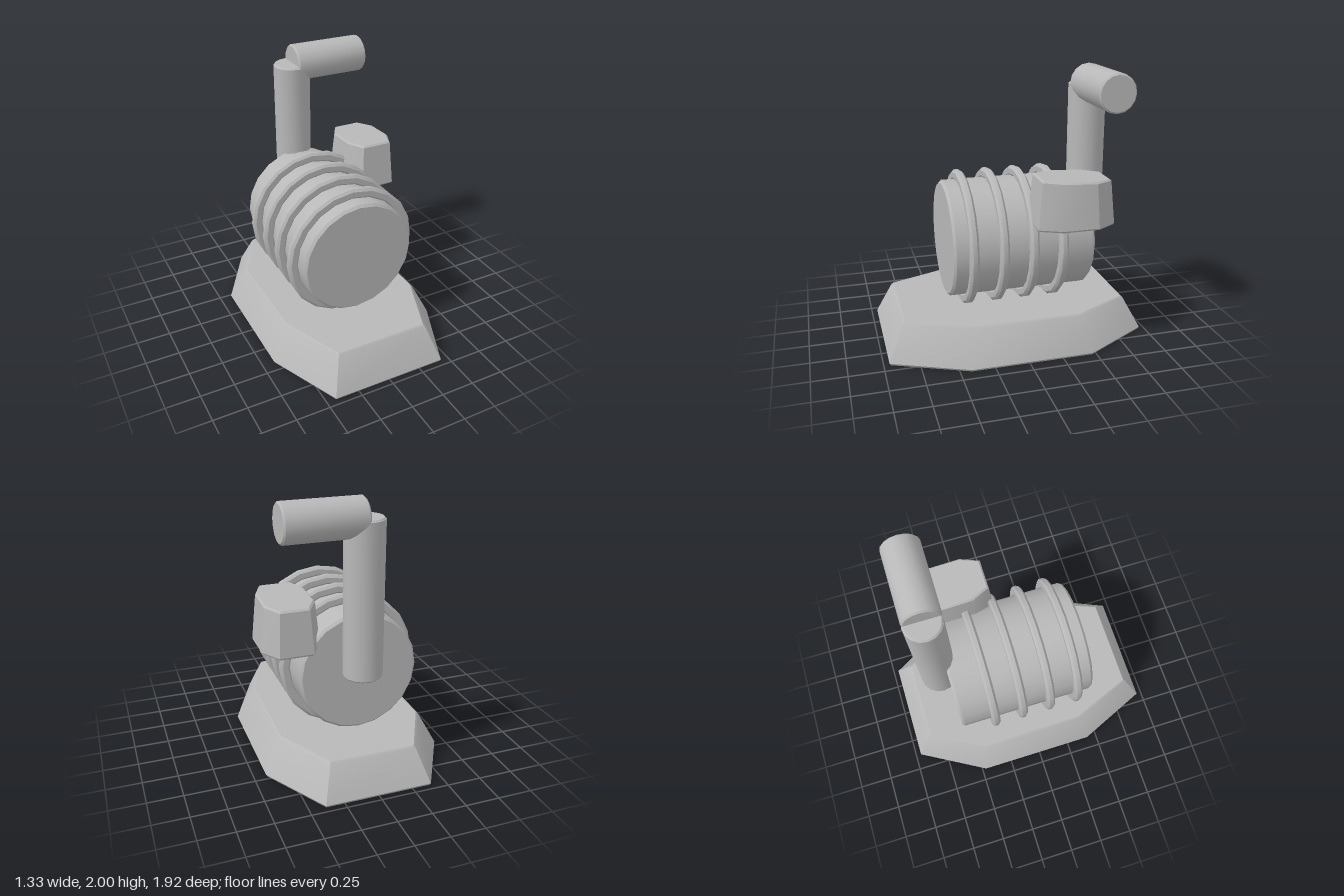
import * as THREE from 'three';
import { toCreasedNormals } from 'three/addons/utils/BufferGeometryUtils.js';

const CREASE = 0.5;

// Eight-sided plan shared by the foot and the side block (+x round to +z)
const PLAN = [
  [1, -0.49], [1, 0.44], [0.65, 1], [-0.65, 1],
  [-1, 0.44], [-1, -0.49], [-0.58, -1], [0.58, -1],
];

// Tapered eight-sided solid with bevelled rims and a top that dips to the back
function taperedBlock(halfW, halfL, height, taperX, taperZ, bevel, dip) {
  const rings = [
    [halfW - bevel / 2, halfL - bevel / 2, 0, 0],
    [halfW, halfL, bevel, 0],
    [halfW * taperX + bevel / 2, halfL * taperZ + bevel / 2, height - bevel, dip],
    [halfW * taperX - bevel / 2, halfL * taperZ - bevel / 2, height, dip],
  ];
  const pos = [], idx = [], n = PLAN.length;
  for (const [w, l, y, d] of rings)
    for (const [x, z] of PLAN) pos.push(x * w, y - d * (1 - z) / 2, z * l);
  for (let r = 0; r < rings.length - 1; r++)
    for (let i = 0; i < n; i++) {
      const a = r * n + i, b = r * n + (i + 1) % n, c = a + n, d = b + n;
      idx.push(a, c, b, b, c, d);
    }
  const top = (rings.length - 1) * n;
  for (let i = 1; i < n - 1; i++) {
    idx.push(0, i, i + 1);
    idx.push(top, top + i + 1, top + i);
  }
  const geo = new THREE.BufferGeometry();
  geo.setAttribute('position', new THREE.Float32BufferAttribute(pos, 3));
  geo.setIndex(idx);
  return toCreasedNormals(geo, CREASE);
}

function lathe(points, sides) {
  const profile = points.map(([r, y]) => new THREE.Vector2(r, y));
  return toCreasedNormals(new THREE.LatheGeometry(profile, sides), CREASE);
}

// Solid rod along y with bevelled ends
function rod(radius, from, to, bevel, sides) {
  return lathe([
    [0, from], [radius - bevel, from], [radius, from + bevel],
    [radius, to - bevel], [radius - bevel, to], [0, to],
  ], sides);
}

export function createModel() {
  const group = new THREE.Group();
  const grey = new THREE.MeshStandardMaterial({ color: 0xb8b8b8 });
  grey.name = 'plain grey';

  const add = (name, geometry, x = 0, y = 0, z = 0) => {
    const mesh = new THREE.Mesh(geometry, grey);
    mesh.name = name;
    mesh.position.set(x, y, z);
    group.add(mesh);
    return mesh;
  };

  // Foot
  add('base', taperedBlock(0.665, 0.96, 0.28, 0.805, 0.87, 0.015, 0.02));

  // Drum lying along z, with four ribs
  add('drum', rod(0.43, -0.557, 0.48, 0.018, 20).rotateX(Math.PI / 2), 0, 0.75, 0);
  const rib = lathe([
    [0.425, -0.018], [0.442, -0.031], [0.482, -0.031], [0.5, -0.015],
    [0.5, 0.015], [0.482, 0.031], [0.442, 0.031], [0.425, 0.018], [0.425, -0.018],
  ], 20).rotateX(Math.PI / 2);
  for (let i = 0; i < 4; i++) add('rib' + (i + 1), rib, 0, 0.75, 0.345 - i * 0.216);

  // Crank: upright arm behind the drum and a grip turned to the left
  add('crankArm', rod(0.137, 0.755, 1.862, 0.012, 16), 0, 0, -0.617);
  add('crankGrip', rod(0.137, 0.005, 0.57, 0.012, 16).rotateZ(-Math.PI / 2), 0, 1.863, -0.617);

  // Side block
  add('sideBlock', taperedBlock(0.203, 0.276, 0.35, 0.83, 0.88, 0.012, 0.025), 0.463, 0.955, -0.347);

  return group;
}
